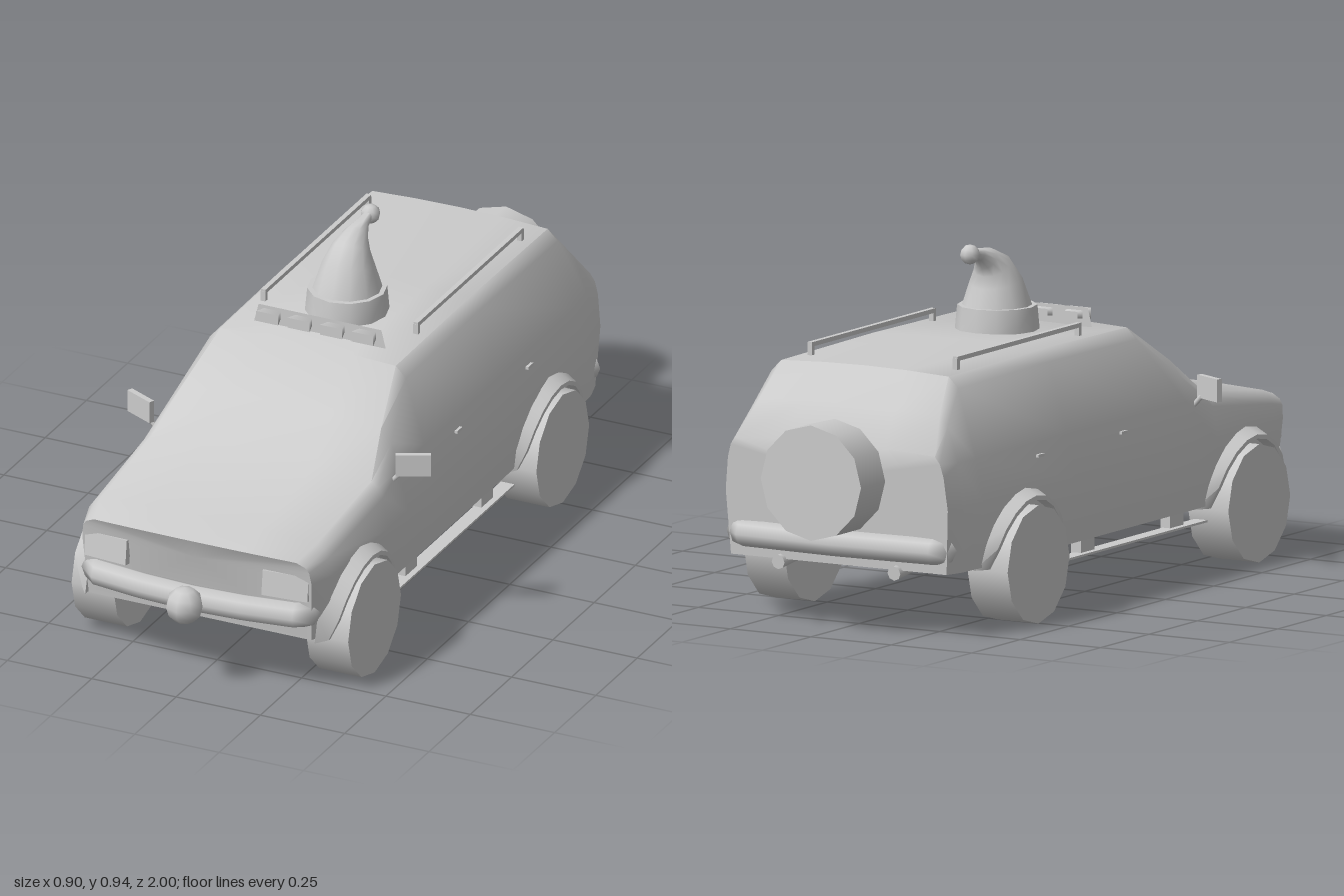
import * as THREE from 'three';
import { toCreasedNormals } from 'three/addons/utils/BufferGeometryUtils.js';

const grey = new THREE.MeshStandardMaterial({ color: 0xcccccc });
const thin = new THREE.MeshStandardMaterial({ color: 0xcccccc, side: THREE.DoubleSide });

function add(parent, name, geometry, x = 0, y = 0, z = 0, material = grey) {
  const mesh = new THREE.Mesh(geometry, material);
  mesh.name = name;
  mesh.position.set(x, y, z);
  parent.add(mesh);
  return mesh;
}

// Skin a list of closed rings of [x, y, z] points and cap both ends
function loft(rings, crease) {
  const n = rings[0].length, pos = rings.flat(2), index = [];
  for (let i = 0; i < rings.length - 1; i++) {
    for (let j = 0; j < n; j++) {
      const k = (j + 1) % n, a = i * n + j, b = i * n + k;
      index.push(a, a + n, b, b, a + n, b + n);
    }
  }
  [0, rings.length - 1].forEach((r, end) => {
    const c = pos.length / 3;
    for (let m = 0; m < 3; m++) pos.push(rings[r].reduce((s, p) => s + p[m], 0) / n);
    for (let j = 0; j < n; j++) {
      const a = r * n + j, b = r * n + (j + 1) % n;
      end ? index.push(c, b, a) : index.push(c, a, b);
    }
  });
  const g = new THREE.BufferGeometry();
  g.setAttribute('position', new THREE.Float32BufferAttribute(pos, 3));
  g.setIndex(index);
  return toCreasedNormals(g, crease);
}

// Body shell: half widths and heights of the outline at stations along z
function bodyGeometry() {
  const stations = [
    // z, bottom, middle, belt x/y, shoulder x/y, top edge x/y, centre y
    [0.905, 0.33, 0.34, 0.335, 0.385, 0.325, 0.4, 0.3, 0.412, 0.42],
    [0.8, 0.35, 0.365, 0.355, 0.4, 0.34, 0.42, 0.32, 0.435, 0.445],
    [0.48, 0.36, 0.375, 0.36, 0.44, 0.345, 0.465, 0.325, 0.48, 0.5],
    [0.36, 0.36, 0.375, 0.348, 0.47, 0.325, 0.54, 0.295, 0.578, 0.59],
    [0.2, 0.36, 0.375, 0.345, 0.47, 0.29, 0.655, 0.26, 0.685, 0.693],
    [-0.25, 0.36, 0.375, 0.345, 0.47, 0.29, 0.66, 0.26, 0.69, 0.698],
    [-0.72, 0.355, 0.37, 0.345, 0.47, 0.29, 0.655, 0.26, 0.685, 0.693],
    [-0.8, 0.35, 0.36, 0.338, 0.47, 0.305, 0.565, 0.28, 0.592, 0.6],
    [-0.875, 0.335, 0.345, 0.335, 0.44, 0.325, 0.475, 0.31, 0.495, 0.505],
  ];
  const rings = stations.map(([z, wb, wm, wl, yl, ws, ys, wt, yt, yc]) => {
    const half = [[wb, 0.175], [wm, 0.35], [wl, yl], [ws, ys], [wt, yt], [wt * 0.5, yc - 0.002]];
    const ring = [...half, [0, yc], ...half.map(([x, y]) => [-x, y]).reverse()];
    // bow the nose sideways and tuck both ends in at the bottom
    return ring.map(([x, y]) => {
      let dz = 0;
      if (z > 0.9) dz = -0.2 * x * x - 0.12 * (0.42 - y);
      if (z < -0.85) dz = 0.06 * Math.max(0, 0.5 - y);
      return [x, y, z + dz];
    });
  });
  return loft(rings, 0.75);
}

// Wheel arch flare swept around the wheel centre
function flareGeometry() {
  const rings = [];
  for (let i = 0; i <= 10; i++) {
    const t = Math.PI * i / 10, lip = 0.365 + 0.04 * Math.sqrt(Math.sin(t));
    rings.push([[0.34, 0.21], [lip, 0.178], [lip, 0.166], [0.34, 0.166]].map(
      ([x, r]) => [x, r * Math.sin(t), r * Math.cos(t) * (0.95 + 0.1 * (1 - Math.sin(t)))]));
  }
  return loft(rings, 0.6);
}

function bumperGeometry(points) {
  const curve = new THREE.CatmullRomCurve3(points.map(p => new THREE.Vector3(...p)), false, 'catmullrom', 0.1);
  return new THREE.TubeGeometry(curve, 24, 0.036, 8, false);
}

// Floppy cone: rings follow a bending centreline, tip first
function hatGeometry() {
  const path = [ // z, y, radius, tilt
    [-0.17, 0.917, 0.012, 1.4], [-0.13, 0.907, 0.018, 1.2], [-0.095, 0.892, 0.033, 0.9],
    [-0.062, 0.868, 0.052, 0.5], [-0.045, 0.825, 0.072, 0.2], [-0.038, 0.755, 0.095, 0],
  ];
  return loft(path.map(([z, y, r, tilt]) => Array.from({ length: 12 }, (_, i) => {
    const a = i * Math.PI / 6, u = -r * Math.sin(a);
    return [r * Math.cos(a), y + u * Math.sin(tilt), z + u * Math.cos(tilt)];
  })), 1.1);
}

export function createModel() {
  const car = new THREE.Group();
  car.name = 'offRoadCar';
  add(car, 'body', bodyGeometry());

  // Wheels, flares and other mirrored parts
  const wheel = new THREE.CylinderGeometry(0.16, 0.16, 0.125, 12).rotateZ(Math.PI / 2);
  const flare = flareGeometry();
  const bar = (r, l, n = 8) => new THREE.CylinderGeometry(r, r, l, n);
  for (const s of [1, -1]) {
    const side = new THREE.Group();
    side.name = s > 0 ? 'leftSide' : 'rightSide';
    side.scale.x = s;
    car.add(side);
    for (const [name, z] of [['front', 0.635], ['rear', -0.505]]) {
      add(side, name + 'Wheel', wheel, 0.3475, 0.16, z);
      add(side, name + 'WheelArch', flare, 0, 0.168, z, thin);
    }

    // Wing mirror on a slanted arm
    add(side, 'mirror', new THREE.BoxGeometry(0.095, 0.062, 0.016), 0.404, 0.506, 0.388).rotation.y = 0.45;
    add(side, 'mirrorArm', bar(0.007, 0.08, 6), 0.352, 0.458, 0.4).rotation.z = -0.75;

    // Running board on two brackets
    add(side, 'runningBoard', new THREE.BoxGeometry(0.04, 0.006, 0.72), 0.352, 0.138, 0.07);
    for (const z of [0.3, -0.16])
      add(side, 'boardBracket', new THREE.BoxGeometry(0.03, 0.04, 0.07), 0.34, 0.158, z);

    // Roof rail with end posts
    add(side, 'roofRail', new THREE.BoxGeometry(0.014, 0.012, 0.64), 0.226, 0.717, -0.31);
    for (const z of [0.004, -0.624])
      add(side, 'railPost', new THREE.BoxGeometry(0.014, 0.035, 0.014), 0.226, 0.7, z);

    // Headlamp, door handles and exhaust pipe
    add(side, 'headlamp', new THREE.BoxGeometry(0.13, 0.07, 0.02), 0.265, 0.333, 0.874).rotation.set(-0.12, 0.11, 0);
    for (const z of [0.02, -0.41])
      add(side, 'doorHandle', new THREE.BoxGeometry(0.008, 0.008, 0.03), 0.358, 0.436, z);
    const exhaust = add(side, 'exhaust', new THREE.CylinderGeometry(0.01, 0.02, 0.2, 8), 0.18, 0.174, -0.77);
    exhaust.rotation.x = Math.PI / 2 - 0.06;
  }

  // Bumpers, front ball and spare wheel
  add(car, 'frontBumper', bumperGeometry([
    [-0.31, 0.25, 0.83], [-0.312, 0.25, 0.868], [-0.15, 0.25, 0.892], [0, 0.25, 0.9],
    [0.15, 0.25, 0.892], [0.312, 0.25, 0.868], [0.31, 0.25, 0.83]]), 0, 0, 0, thin);
  add(car, 'rearBumper', bumperGeometry([
    [-0.31, 0.235, -0.82], [-0.316, 0.235, -0.856], [0, 0.235, -0.872],
    [0.316, 0.235, -0.856], [0.31, 0.235, -0.82]]), 0, 0, 0, thin);
  add(car, 'frontBall', new THREE.SphereGeometry(0.052, 8, 6), 0, 0.25, 0.948);
  add(car, 'spareWheel', new THREE.CylinderGeometry(0.156, 0.156, 0.125, 12).rotateX(Math.PI / 2), 0, 0.415, -0.9375);

  // Roof lamps in front of a thin backing panel
  const panel = new THREE.Shape([[-0.195, 0.69], [0.195, 0.69], [0.182, 0.742], [-0.182, 0.742]]
    .map(p => new THREE.Vector2(...p)));
  add(car, 'lampPanel', new THREE.ShapeGeometry(panel), 0, 0, 0.128, thin);
  for (const x of [-0.141, -0.048, 0.048, 0.141]) {
    const housing = add(car, 'roofLamp', new THREE.CylinderGeometry(0.046, 0.028, 0.05, 4, 1)
      .rotateY(Math.PI / 4).rotateX(Math.PI / 2), x, 0.722, 0.135);
    housing.scale.y = 0.45;
  }

  // Hat with brim and pompom
  add(car, 'hatBrim', toCreasedNormals(new THREE.CylinderGeometry(0.107, 0.113, 0.065, 12), 0.7), 0, 0.727, -0.037);
  add(car, 'hat', hatGeometry());
  add(car, 'pompom', new THREE.SphereGeometry(0.027, 8, 6), 0, 0.914, -0.178);
  return car;
}
